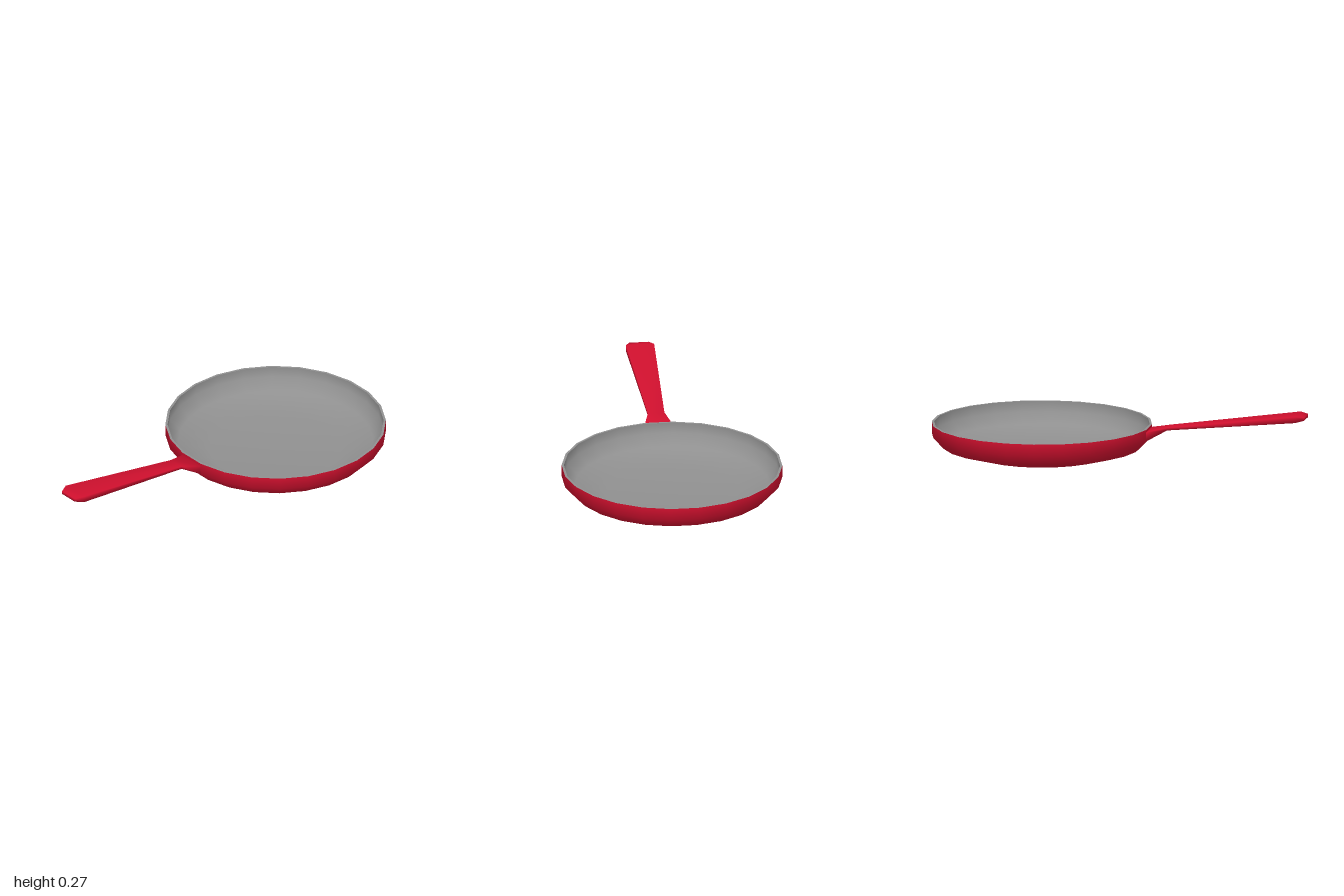
import * as THREE from 'three';

const SIDES = 24;
const PAN_Z = -0.423;

// Surface of revolution with flats facing the axes
function ring(name, points, material) {
  const geometry = new THREE.LatheGeometry(
    points.map(([r, y]) => new THREE.Vector2(r, y)), SIDES, Math.PI / SIDES);
  const mesh = new THREE.Mesh(geometry, material);
  mesh.name = name;
  mesh.position.z = PAN_Z;
  return mesh;
}

// Smooth bar through rectangular sections [z, halfWidth, bottom, top]
function sectionBar(sections) {
  const positions = [], index = [];
  for (const [z, w, low, high] of sections) {
    positions.push(-w, low, z, w, low, z, w, high, z, -w, high, z);
  }
  for (let s = 0; s < sections.length - 1; s++) {
    for (let k = 0; k < 4; k++) {
      const a = s * 4 + k, b = s * 4 + (k + 1) % 4;
      index.push(a, b, b + 4, a, b + 4, a + 4);
    }
  }
  const e = (sections.length - 1) * 4;
  index.push(0, 2, 1, 0, 3, 2, e, e + 1, e + 2, e, e + 2, e + 3);
  const geometry = new THREE.BufferGeometry();
  geometry.setAttribute('position', new THREE.Float32BufferAttribute(positions, 3));
  geometry.setIndex(index);
  geometry.computeVertexNormals();
  return geometry;
}

export function createModel() {
  const red = new THREE.MeshStandardMaterial({ color: 0xd0102e });
  const grey = new THREE.MeshStandardMaterial({ color: 0x909090 });
  const pan = new THREE.Group();
  pan.name = 'fryingPan';

  // Enamelled outside, grey rim and cooking surface
  pan.add(ring('outerShell',
    [[0, 0], [0.355, 0], [0.525, 0.047], [0.582, 0.107], [0.582, 0.17]], red));
  pan.add(ring('rim', [[0.582, 0.17], [0.57, 0.17]], grey));
  pan.add(ring('cookingSurface',
    [[0.57, 0.17], [0.57, 0.112], [0.515, 0.056], [0.35, 0.012], [0, 0.012]], grey));

  // Handle: flared root, narrow neck, wide grip and chamfered tip
  const handle = new THREE.Mesh(sectionBar([
    [0.153, 0.075, 0.107, 0.156],
    [0.26, 0.044, 0.165, 0.179],
    [0.955, 0.075, 0.24, 0.273],
    [1.0, 0.052, 0.25, 0.267],
  ]), red);
  handle.name = 'handle';
  pan.add(handle);

  return pan;
}
